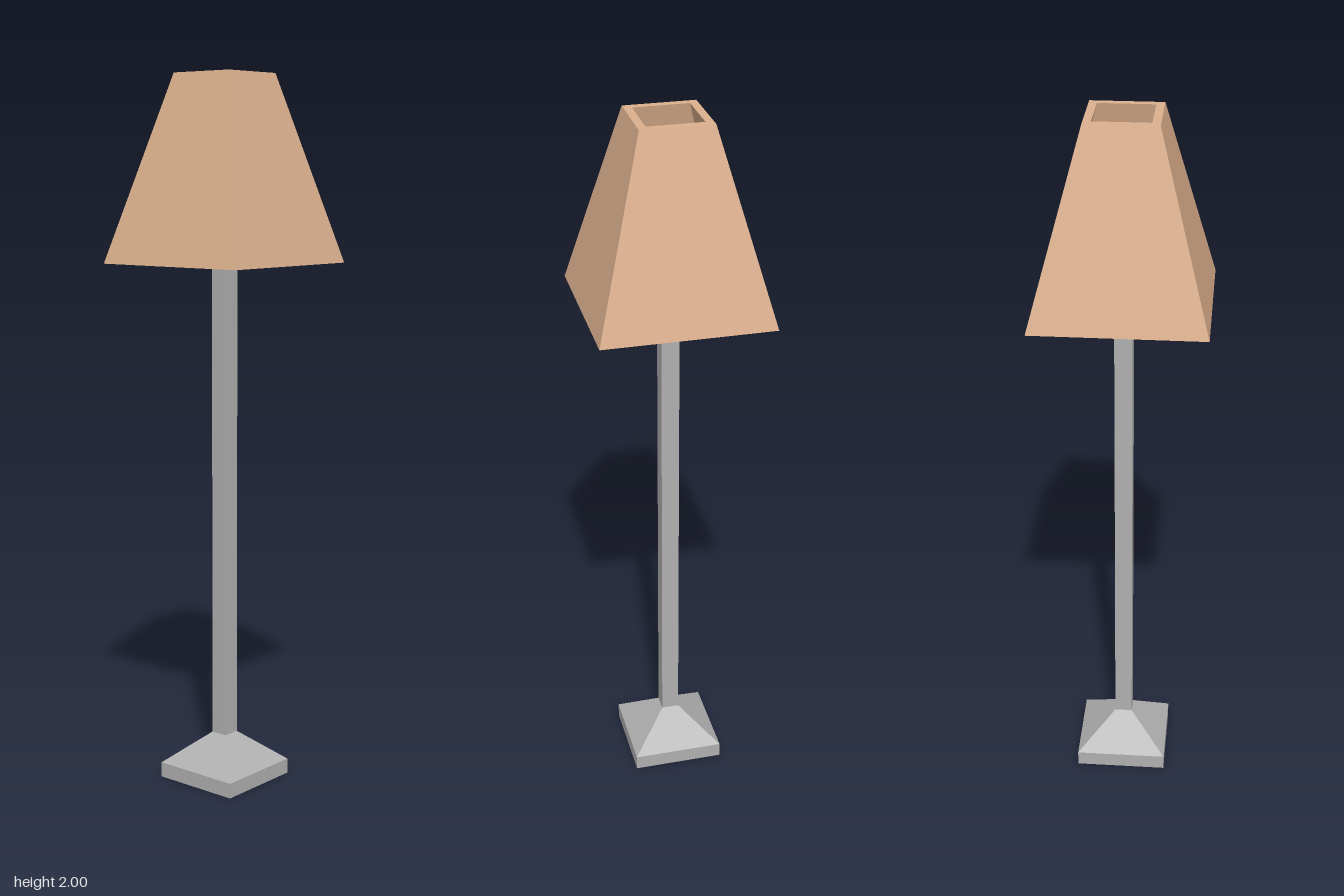
import * as THREE from 'three';

// Square solid of revolution from [halfWidth, y] points, with flat faces
function squareLathe(profile) {
  const points = profile.map(([half, y]) => new THREE.Vector2(half * Math.SQRT2, y));
  const geometry = new THREE.LatheGeometry(points, 4, Math.PI / 4).toNonIndexed();
  geometry.computeVertexNormals();
  return geometry;
}

export function createModel() {
  const model = new THREE.Group();
  model.name = 'floorLamp';

  const metal = new THREE.MeshStandardMaterial({ color: 0xb0b0b0 });
  metal.name = 'grey metal';
  const fabric = new THREE.MeshStandardMaterial({ color: 0xdcb08d });
  fabric.name = 'tan fabric';
  const glow = new THREE.MeshStandardMaterial({ color: 0xd2a650 });
  glow.name = 'amber bulb';

  const add = (name, geometry, material, y = 0) => {
    const mesh = new THREE.Mesh(geometry, material);
    mesh.name = name;
    mesh.position.y = y;
    model.add(mesh);
    return mesh;
  };

  // Square foot with sloping top
  add('base', squareLathe([[0, 0], [0.13, 0], [0.13, 0.043], [0.025, 0.132], [0, 0.132]]), metal);

  // Square pole running up into the shade
  const poleBottom = 0.132, poleTop = 1.68;
  add('pole', new THREE.BoxGeometry(0.05, poleTop - poleBottom, 0.05), metal, (poleBottom + poleTop) / 2);

  // Faceted bulb, resting on an edge and turned about the pole
  const bulb = add('bulb', new THREE.IcosahedronGeometry(0.105, 0), glow, 1.755);
  bulb.rotation.y = -0.995;

  // Hollow tapered shade, open at both ends, with wall thickness
  add('shade', squareLathe([
    [0.236, 1.485], [0.098, 2], [0.076, 2], [0.214, 1.485], [0.236, 1.485],
  ]), fabric);

  return model;
}
